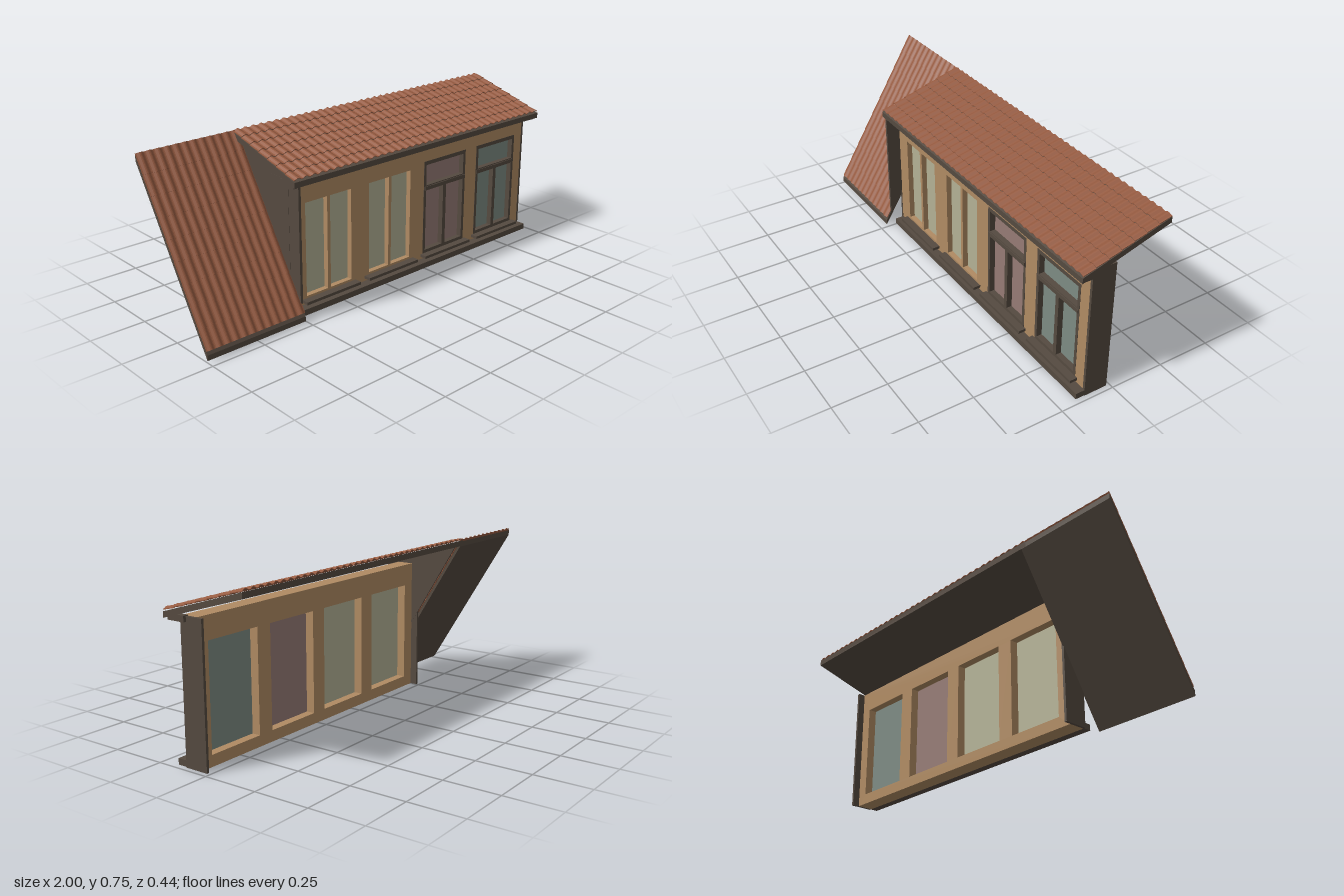
import * as THREE from 'three';

const material = (name, color) => {
  const m = new THREE.MeshStandardMaterial({ color });
  m.name = name;
  return m;
};

export function createModel() {
  const model = new THREE.Group();
  model.name = 'dormer';
  const plaster = material('ochre plaster', 0xb08b63);
  const trim = material('dark trim', 0x554a40);
  const tile = material('clay tile', 0x965b41);
  const creamGlass = material('cream glass', 0xb3b195);
  const mauveGlass = material('mauve glass', 0x967b75);
  const tealGlass = material('teal glass', 0x7d8b83);

  const add = (name, geometry, mat, parent = model) => {
    const mesh = new THREE.Mesh(geometry, mat);
    mesh.name = name;
    parent.add(mesh);
    return mesh;
  };

  // Box given by its limits on each axis
  const box = (name, mat, x0, x1, y0, y1, z0, z1) =>
    add(name, new THREE.BoxGeometry(x1 - x0, y1 - y0, z1 - z0), mat)
      .position.set((x0 + x1) / 2, (y0 + y1) / 2, (z0 + z1) / 2);

  const rectPoints = ([x0, x1, y0, y1]) =>
    [[x0, y0], [x1, y0], [x1, y1], [x0, y1]].map(p => new THREE.Vector2(...p));

  // Upright panel with rectangular openings
  const panel = (name, mat, outline, holes, z0, z1) => {
    const shape = new THREE.Shape(rectPoints(outline));
    for (const h of holes) shape.holes.push(new THREE.Path(rectPoints(h).reverse()));
    const geo = new THREE.ExtrudeGeometry(shape, { depth: z1 - z0, bevelEnabled: false });
    add(name, geo.translate(0, 0, z0), mat);
  };

  // Side profile of [z, y] points extended from x0 to x1
  const profile = (name, mat, points, x0, x1) => {
    const shape = new THREE.Shape(points.map(([z, y]) => new THREE.Vector2(-z, y)));
    const geo = new THREE.ExtrudeGeometry(shape, { depth: x1 - x0, bevelEnabled: false });
    add(name, geo.rotateY(Math.PI / 2).translate(x0, 0, 0), mat);
  };

  // Overlapping rows of wavy tiles climbing towards the back
  const tiledSlope = (name, x0, x1, z0, y0, angle, length, rows, cols, lift, thick, wave) => {
    const group = new THREE.Group();
    group.name = name;
    group.position.set(0, y0, z0);
    group.rotation.x = angle;
    const top = [], bottom = [], steps = cols * 8;
    for (let i = 0; i <= steps; i++) {
      const x = x0 + (x1 - x0) * i / steps;
      const n = wave * (0.5 - 0.5 * Math.cos(i / 8 * Math.PI * 2));
      bottom.push(new THREE.Vector2(x, n));
      top.unshift(new THREE.Vector2(x, n + thick));
    }
    const rowLength = length / rows;
    const geo = new THREE.ExtrudeGeometry(new THREE.Shape([...bottom, ...top]),
      { depth: rowLength, bevelEnabled: false }).translate(0, 0, -rowLength);
    for (let i = 0; i < rows; i++) {
      const row = add('tileRow', geo, tile, group);
      row.position.set(0, lift, -i * rowLength);
      row.rotation.x = -lift / rowLength;
    }
    model.add(group);
  };

  // Windows: two plain pairs of panes, then two with dark frames and transoms
  const windows = [
    { x: -0.301, glass: creamGlass },
    { x: 0.059, glass: creamGlass },
    { x: 0.415, glass: mauveGlass, framed: true },
    { x: 0.7725, glass: tealGlass, framed: true },
  ];
  const opening = w => [w.x - 0.14, w.x + 0.14, 0.05, 0.51];
  const frontHoles = [];
  for (const w of windows) {
    const { x } = w;
    if (w.framed) {
      frontHoles.push(opening(w));
      panel('windowFrame', trim, opening(w), [
        [x - 0.125, x - 0.01, 0.07, 0.37],
        [x + 0.01, x + 0.125, 0.07, 0.37],
        [x - 0.125, x + 0.125, 0.393, 0.492],
      ], 0.1, 0.126);
      box('transom', trim, x - 0.135, x + 0.135, 0.37, 0.388, 0.12, 0.13);
    } else {
      frontHoles.push([x - 0.1275, x - 0.008, 0.065, 0.49], [x + 0.008, x + 0.1275, 0.065, 0.49]);
    }
    box('glass', w.glass, x - 0.14, x + 0.14, 0.05, 0.51, 0.088, 0.1);
    box('windowSill', trim, x - 0.153, x + 0.153, 0.042, 0.055, 0.12, 0.16);
  }

  // Wall: a thin front skin over a back layer with full openings, set in from the end plates
  const wall = [-0.503, 0.965, 0, 0.61];
  panel('frontWall', plaster, wall, frontHoles, 0.1, 0.125);
  panel('backWall', plaster, wall, windows.map(opening), 0.048, 0.1);
  box('plinth', trim, -0.502, 0.977, 0.003, 0.03, 0.12, 0.168);

  // End plates and small eaves returns
  for (const x of [-0.515, 0.965]) box('endPlate', trim, x, x + 0.012, 0, 0.61, 0.015, 0.1255);
  box('eavesReturn', trim, 0.965, 0.99, 0.588, 0.614, 0.095, 0.18);
  box('eavesReturn', trim, -0.53, -0.505, 0.588, 0.614, 0.095, 0.18);

  // Triangular cheek closing the left side
  profile('cheek', trim, [[0.19, 0.079], [0.19, 0.597], [-0.19, 0.709]], -0.514, -0.502);

  // Shallow roof
  profile('roofSlab', trim,
    [[0.193, 0.595], [0.193, 0.62], [-0.215, 0.742], [-0.215, 0.716]], -0.535, 1);
  tiledSlope('roofTiles', -0.535, 1, 0.19, 0.623, Math.atan(0.297), 0.422, 7, 37, 0.004, 0.003, 0.008);

  // Steep roof beside the dormer
  profile('steepRoofSlab', trim,
    [[0.215, 0.008], [0.215, 0.031], [-0.215, 0.738], [-0.215, 0.715]], -1, -0.51);
  tiledSlope('steepRoofTiles', -1, -0.51, 0.209, 0.045, Math.atan(1.645), 0.82, 9, 12, 0.002, 0.002, 0.007);

  return model;
}
